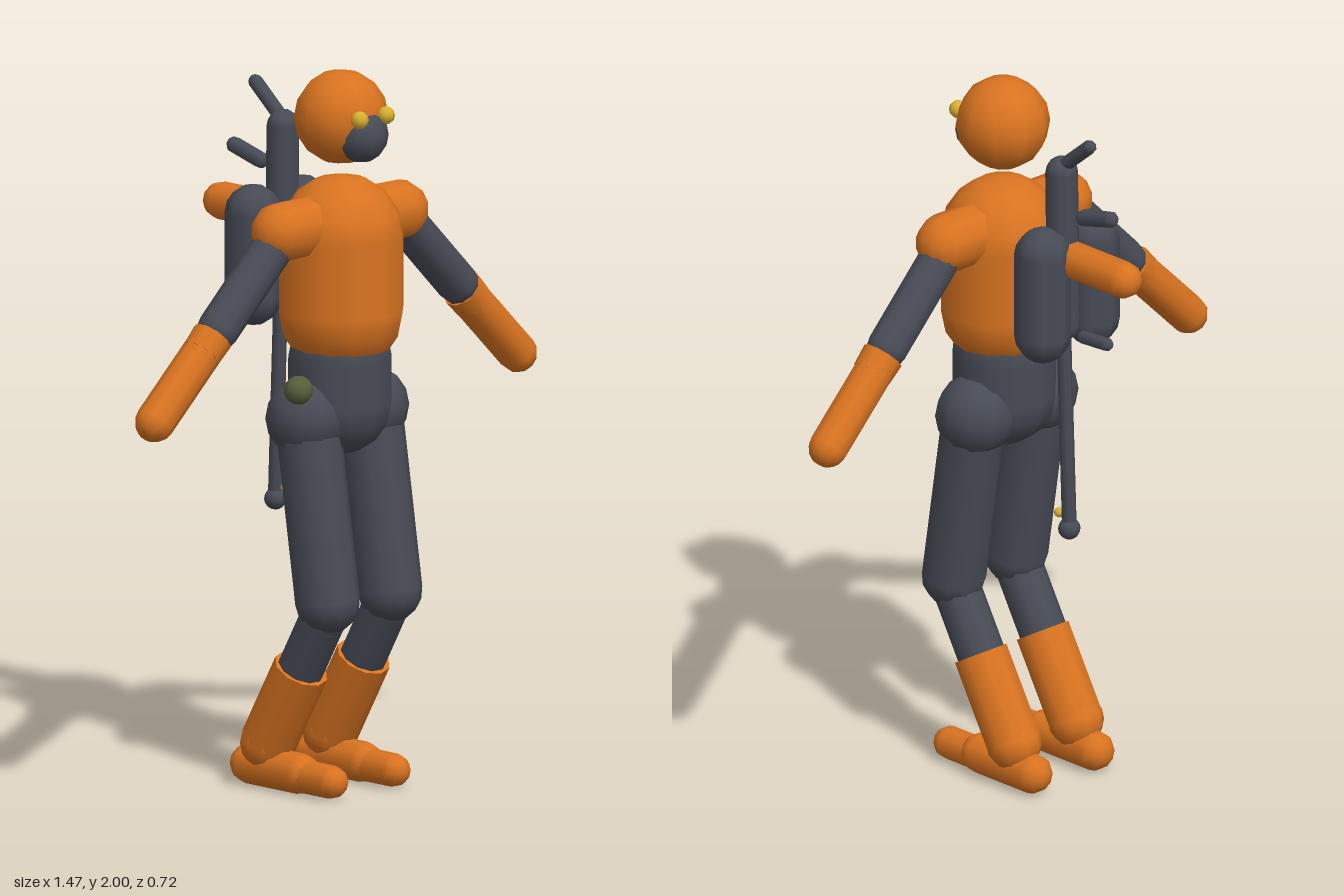
import * as THREE from 'three';

export function createModel() {
  const root = new THREE.Group();
  root.name = 'divingFigure';

  const paint = (name, color) => {
    const m = new THREE.MeshStandardMaterial({ color });
    m.name = name;
    return m;
  };
  const orange = paint('orangeSuit', 0xd97320);
  const slate = paint('slateGrey', 0x474b55);
  const gold = paint('goldLens', 0xd8b030);
  const olive = paint('oliveGreen', 0x55603a);

  const up = new THREE.Vector3(0, 1, 0);

  // Rounded low-sided limb between the centres of its two end caps
  function limb(parent, name, mat, r, from, to, sides = 10) {
    const a = new THREE.Vector3(...from);
    const b = new THREE.Vector3(...to);
    const dir = b.clone().sub(a);
    const mesh = new THREE.Mesh(new THREE.CapsuleGeometry(r, dir.length(), 4, sides), mat);
    mesh.name = name;
    mesh.position.copy(a).add(b).multiplyScalar(0.5);
    mesh.quaternion.setFromUnitVectors(up, dir.normalize());
    parent.add(mesh);
  }

  function ball(parent, name, mat, r, pos, w = 10, h = 8) {
    const mesh = new THREE.Mesh(new THREE.SphereGeometry(r, w, h), mat);
    mesh.name = name;
    mesh.position.set(...pos);
    parent.add(mesh);
  }

  // Head with breathing mask
  const head = new THREE.Group();
  head.name = 'head';
  root.add(head);
  ball(head, 'hood', orange, 0.13, [0, 1.87, 0.19]);
  ball(head, 'mask', slate, 0.075, [0, 1.83, 0.27]);

  // Body
  limb(root, 'chest', orange, 0.174, [0, 1.537, 0.19], [0, 1.335, 0.19], 12);
  limb(root, 'abdomen', slate, 0.145, [0, 1.2, 0.185], [0, 1.08, 0.185], 12);

  for (const s of [1, -1]) {
    const side = s > 0 ? 'left' : 'right';
    ball(head, side + 'Lens', gold, 0.025, [s * 0.049, 1.885, 0.315], 8, 6);

    // Arm
    const arm = new THREE.Group();
    arm.name = side + 'Arm';
    root.add(arm);
    limb(arm, 'shoulder', orange, 0.083, [s * 0.1, 1.58, 0.185], [s * 0.22, 1.58, 0.185]);
    limb(arm, 'upperArm', slate, 0.058, [s * 0.22, 1.57, 0.182], [s * 0.45, 1.34, 0.177]);
    limb(arm, 'forearm', orange, 0.055, [s * 0.503, 1.288, 0.174], [s * 0.68, 1.115, 0.17]);
    // Close the elbow with a plain cuff so the sleeve ends squarely
    const cuff = new THREE.Mesh(new THREE.CylinderGeometry(0.0585, 0.0555, 0.06, 10), orange);
    cuff.name = 'elbowCuff';
    cuff.position.set(s * 0.489, 1.302, 0.175);
    cuff.rotation.z = s * Math.PI / 4;
    arm.add(cuff);

    // Leg
    const leg = new THREE.Group();
    leg.name = side + 'Leg';
    root.add(leg);
    const x = s * 0.117;
    ball(leg, 'hip', slate, 0.112, [x, 1.05, 0.175]);
    limb(leg, 'thigh', slate, 0.089, [x, 1.05, 0.18], [x, 0.55, 0.26]);
    limb(leg, 'shin', slate, 0.066, [x, 0.55, 0.27], [x, 0.3, 0.126]);

    // Boot: straight-topped shaft, rounded ankle, foot and toe
    const top = new THREE.Vector3(x, 0.35, 0.156);
    const ankle = new THREE.Vector3(x, 0.125, 0.025);
    const axis = top.clone().sub(ankle);
    const shaft = new THREE.Mesh(new THREE.CylinderGeometry(0.077, 0.077, axis.length(), 10), orange);
    shaft.name = 'bootShaft';
    shaft.position.copy(top).add(ankle).multiplyScalar(0.5);
    shaft.quaternion.setFromUnitVectors(up, axis.normalize());
    leg.add(shaft);
    ball(leg, 'ankle', orange, 0.077, ankle.toArray());
    limb(leg, 'foot', orange, 0.056, [x, 0.057, -0.045], [x, 0.057, 0.155]);
    limb(leg, 'toe', orange, 0.046, [x, 0.052, 0.15], [x, 0.052, 0.275]);

    // Air tank
    limb(root, side + 'Tank', slate, 0.078, [s * 0.092, 1.58, -0.06], [s * 0.092, 1.345, -0.06], 8);
  }

  // Belt pouch ball on the right hip
  ball(root, 'beltBall', olive, 0.04, [-0.217, 1.15, 0.25]);

  // Long tool slung between the tanks
  const tool = new THREE.Group();
  tool.name = 'slungTool';
  root.add(tool);
  const tx = 0.022;
  limb(tool, 'toolBody', slate, 0.045, [tx, 1.805, -0.062], [tx, 1.36, -0.07]);
  limb(tool, 'toolBarrel', slate, 0.02, [tx, 1.36, -0.07], [tx, 0.78, -0.092], 8);
  ball(tool, 'muzzle', slate, 0.031, [tx, 0.765, -0.092]);
  ball(tool, 'sightBead', gold, 0.014, [tx, 0.8, -0.052], 8, 6);
  limb(tool, 'magazine', orange, 0.052, [tx, 1.56, -0.1], [tx, 1.56, -0.303]);
  limb(tool, 'stockRod', slate, 0.02, [tx, 1.835, -0.08], [tx, 1.91, -0.17], 8);
  limb(tool, 'gripRod', slate, 0.023, [tx, 1.695, -0.15], [tx, 1.722, -0.252], 8);
  limb(tool, 'foregripRod', slate, 0.019, [tx, 1.345, -0.15], [tx, 1.35, -0.238], 8);

  return root;
}
